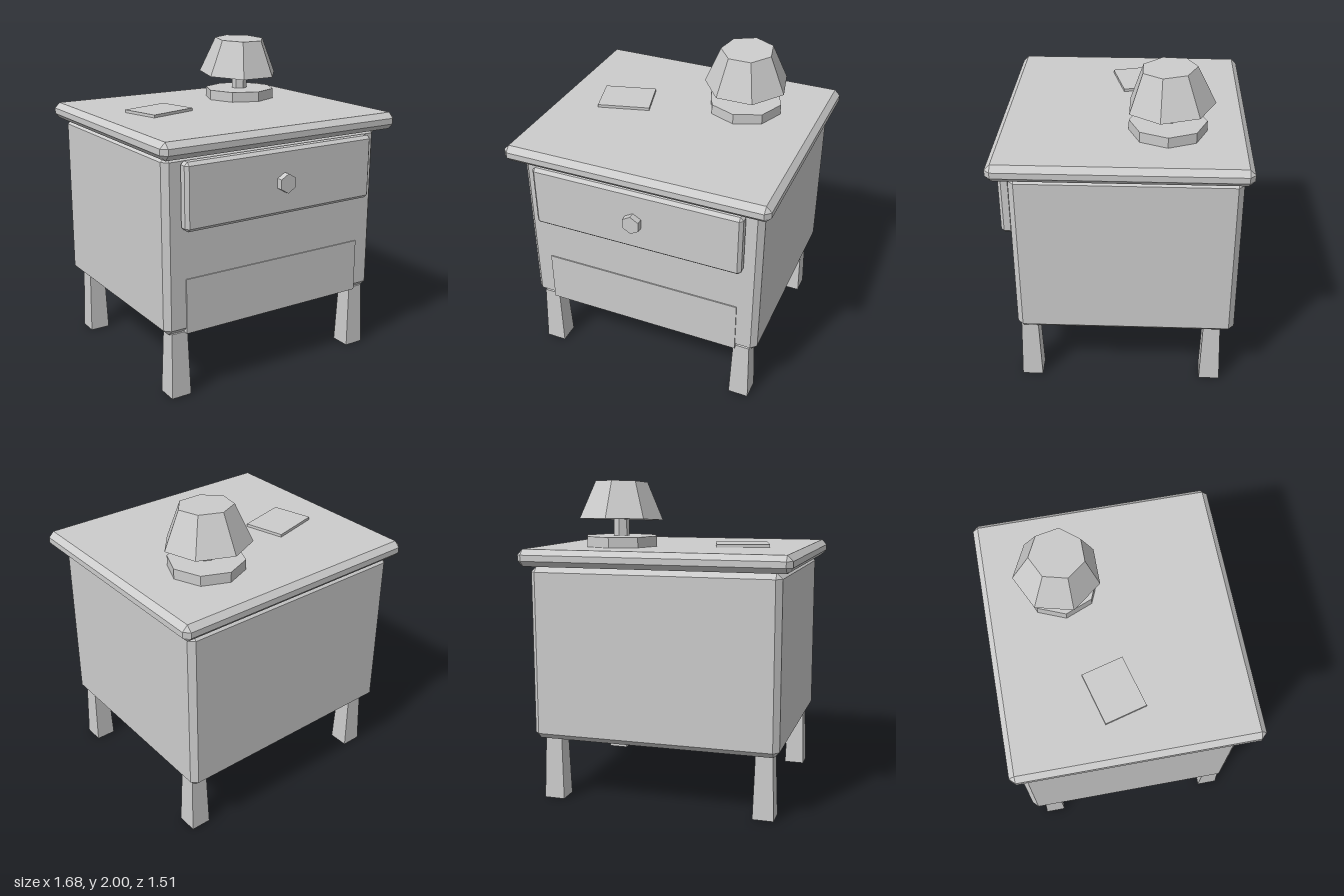
import * as THREE from 'three';
import { ConvexGeometry } from 'three/addons/geometries/ConvexGeometry.js';

export function createModel() {
  const model = new THREE.Group();
  model.name = 'nightstand';
  const grey = new THREE.MeshStandardMaterial({ color: 0xcccccc, flatShading: true });
  grey.name = 'plain grey';

  function add(name, geometry, x, y, z, parent = model) {
    const mesh = new THREE.Mesh(geometry, grey);
    mesh.name = name;
    mesh.position.set(x, y, z);
    parent.add(mesh);
    return mesh;
  }

  // Box with every edge and corner cut by c
  function chamferBox(w, h, d, c) {
    const points = [];
    for (const sx of [-1, 1]) for (const sy of [-1, 1]) for (const sz of [-1, 1]) {
      const x = w / 2, y = h / 2, z = d / 2;
      points.push(
        new THREE.Vector3(sx * x, sy * (y - c), sz * (z - c)),
        new THREE.Vector3(sx * (x - c), sy * y, sz * (z - c)),
        new THREE.Vector3(sx * (x - c), sy * (y - c), sz * z));
    }
    return new ConvexGeometry(points);
  }

  // Cabinet
  add('cabinetBody', chamferBox(1.55, 1.08, 1.35, 0.035), 0, 0.945, -0.03);
  add('tableTop', chamferBox(1.68, 0.105, 1.515, 0.034), 0, 1.5375, 0.0025);
  add('drawerFront', chamferBox(1.35, 0.405, 0.08, 0.02), 0, 1.2525, 0.68);
  add('drawerKnob', new THREE.CylinderGeometry(0.06, 0.06, 0.05, 6).rotateX(Math.PI / 2), 0, 1.25, 0.735);
  add('lowerPanel', new THREE.BoxGeometry(1.28, 0.34, 0.04), 0, 0.575, 0.632);

  // Square legs, wider at the foot
  for (const [side, x] of [['Left', 0.675], ['Right', -0.675]]) {
    for (const [end, z] of [['front', 0.575], ['back', -0.57]]) {
      const leg = new THREE.CylinderGeometry(0.0525 * Math.SQRT2, 0.065 * Math.SQRT2, 0.41, 4);
      add(end + side + 'Leg', leg.rotateY(Math.PI / 4), x, 0.205, z);
    }
  }

  // Lamp with a slightly tilted shade
  const lamp = new THREE.Group();
  lamp.name = 'lamp';
  lamp.position.set(0.335, 1.59, -0.268);
  model.add(lamp);
  add('lampBase', new THREE.CylinderGeometry(0.235, 0.235, 0.065, 8), 0, 0.0325, 0, lamp);
  add('lampStem', new THREE.CylinderGeometry(0.05, 0.05, 0.2, 6), 0, 0.155, 0, lamp);
  const shade = new THREE.CylinderGeometry(0.167, 0.268, 0.234, 7).rotateY(Math.PI);
  add('lampShade', shade, 0, 0.284, -0.005, lamp).rotation.x = 0.06;

  // Thin book lying on the top
  add('book', new THREE.BoxGeometry(0.332, 0.018, 0.265), -0.406, 1.599, -0.07).rotation.y = 0.26;

  return model;
}
